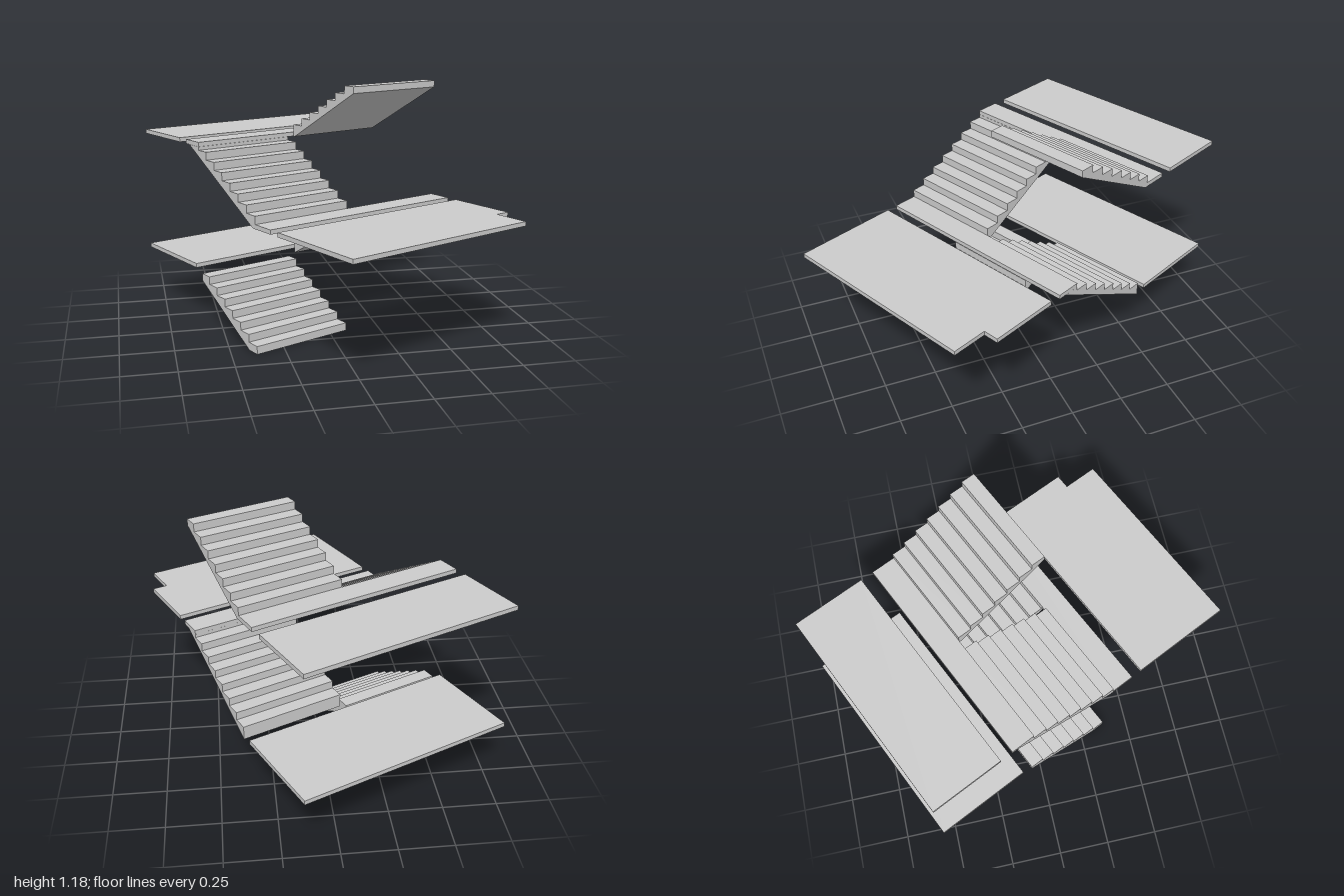
import * as THREE from 'three';

const RISER = 0.0382, TREAD = 0.0687, STEPS = 7, SLAB = 0.021;
const BACK = -0.303, FRONT = 0.178;       // ends of every flight along the run
const OUT_R = -0.507, IN_R = 0.012;       // right-hand flights across the width
const IN_L = 0.047, OUT_L = 0.563;        // left-hand flights across the width

export function createModel() {
  const model = new THREE.Group();
  model.name = 'staircase';
  // the whole stair stands turned about the vertical axis
  const stair = new THREE.Group();
  stair.name = 'turnedStair';
  stair.rotation.y = THREE.MathUtils.degToRad(25);
  model.add(stair);

  const material = new THREE.MeshStandardMaterial({ color: 0xcccccc, flatShading: true });
  const toShape = (pts) => new THREE.Shape(pts.map(([a, b]) => new THREE.Vector2(a, b)));

  function add(name, geometry) {
    const mesh = new THREE.Mesh(geometry, material);
    mesh.name = name;
    stair.add(mesh);
  }

  // flat slab from a plan outline (width, run) with its upper face at top
  function slab(name, outline, top) {
    const g = new THREE.ExtrudeGeometry(toShape(outline), { depth: SLAB, bevelEnabled: false });
    g.rotateX(Math.PI / 2);
    g.translate(0, top, 0);
    add(name, g);
  }
  const rect = (z0, z1) => [[OUT_R, z0], [OUT_L, z0], [OUT_L, z1], [OUT_R, z1]];

  // flight: sawtooth steps closed by the points of its sloping underside
  function flight(name, u0, u1, start, dir, base, underside) {
    const pts = [];
    for (let i = 0; i < STEPS; i++) {
      const y = base + (i + 1) * RISER;
      pts.push([start + dir * i * TREAD, y], [start + dir * (i + 1) * TREAD, y]);
    }
    pts.push(...underside);
    const g = new THREE.ExtrudeGeometry(toShape(pts), { depth: u1 - u0, bevelEnabled: false });
    g.rotateY(-Math.PI / 2);
    g.translate(u1, 0, 0);
    add(name, g);
  }

  const level = (n) => n * 8 * RISER;     // landing heights

  // flights, from the ground up
  flight('firstFlight', OUT_R, IN_R, FRONT, -1, 0,
    [[BACK, 0.233], [0.112, 0], [FRONT, 0]]);
  flight('secondFlight', IN_L, OUT_L, BACK, 1, level(1),
    [[FRONT, 0.59], [0.256, 0.59], [BACK, 0.278]]);
  flight('thirdFlight', OUT_R, IN_R, FRONT, -1, level(2),
    [[BACK, 0.895], [-0.39, 0.895], [0.159, 0.59], [FRONT, 0.59]]);
  flight('fourthFlight', IN_L, OUT_L, BACK, 1, level(3),
    [[FRONT, 1.153], [-0.292, 0.895], [BACK, 0.895]]);

  // strips joining the neighbouring flights at the turns
  slab('frontTurnStrip', rect(FRONT, 0.297), level(2));
  slab('backTurnStrip', rect(-0.422, BACK), level(3));

  // landings
  slab('lowerBackLanding', rect(-0.845, -0.358), level(1));
  slab('upperBackLanding', rect(-0.845, -0.485), level(3));
  slab('frontLanding', [
    [OUT_R, 0.352], [OUT_L, 0.352], [OUT_L, 0.691],
    [0.49, 0.691], [0.49, 0.863], [OUT_R, 0.863],
  ], level(2));

  return model;
}
